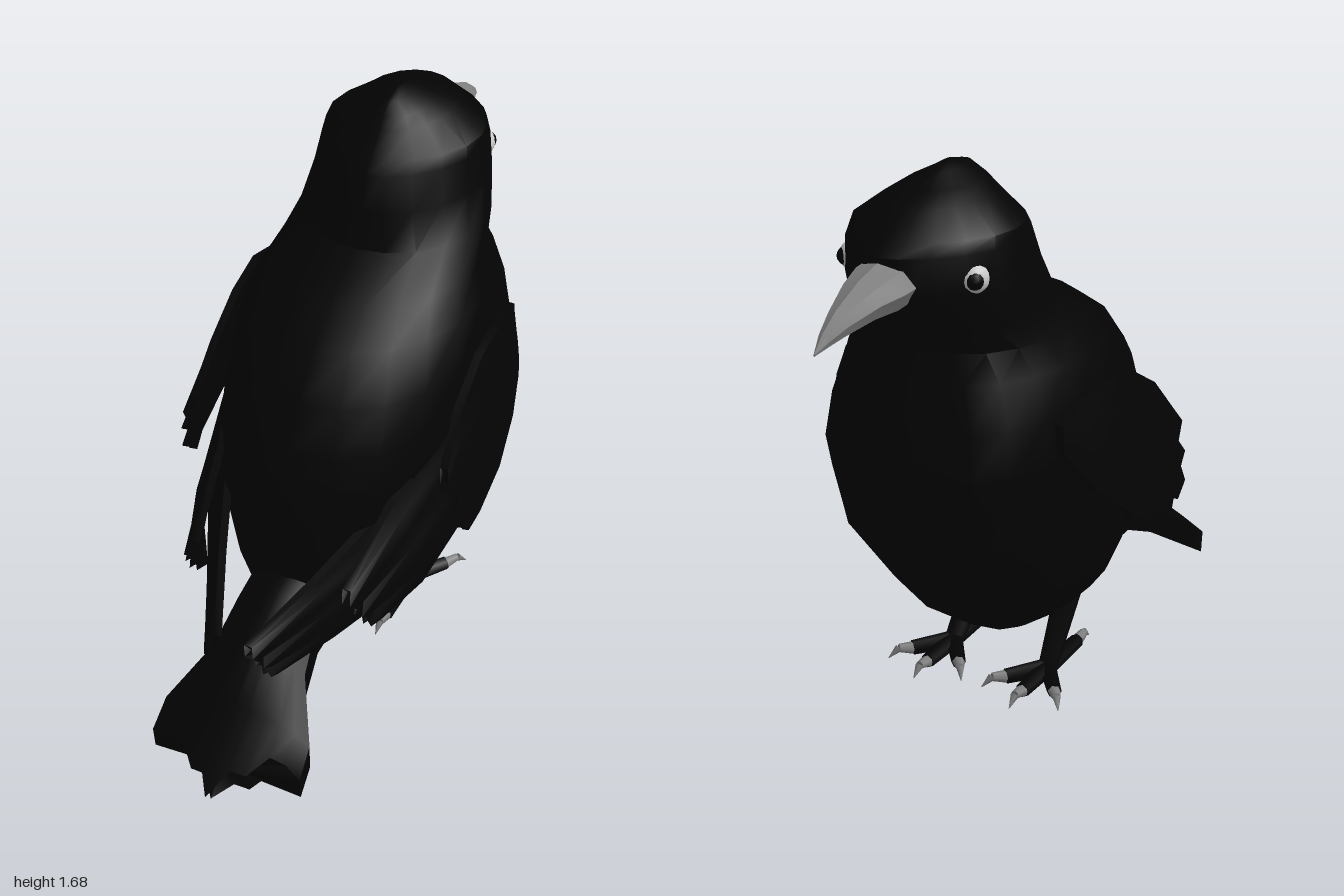
import * as THREE from 'three';
import { toCreasedNormals } from 'three/addons/utils/BufferGeometryUtils.js';

const V = (x, y, z) => new THREE.Vector3(x, y, z);
const black = new THREE.MeshStandardMaterial({ color: 0x030303 });
const thin = new THREE.MeshStandardMaterial({ color: 0x030303, side: THREE.DoubleSide });
const horn = new THREE.MeshStandardMaterial({ color: 0x808080 });
const white = new THREE.MeshStandardMaterial({ color: 0xcccccc });

function add(parent, name, geometry, material) {
  const mesh = new THREE.Mesh(geometry, material);
  mesh.name = name;
  parent.add(mesh);
  return mesh;
}

// Skin a list of closed rings and cap both ends
function loft(rings, crease = 0.7) {
  const n = rings[0].length, m = rings.length, pos = [], idx = [];
  rings.forEach(r => r.forEach(p => pos.push(p.x, p.y, p.z)));
  for (const r of [rings[0], rings[m - 1]]) {
    const c = r.reduce((s, p) => s.add(p), V(0, 0, 0)).divideScalar(n);
    pos.push(c.x, c.y, c.z);
  }
  for (let i = 0; i < m - 1; i++) {
    for (let j = 0; j < n; j++) {
      const a = i * n + j, b = i * n + (j + 1) % n;
      idx.push(a, a + n, b, b, a + n, b + n);
    }
  }
  for (let j = 0; j < n; j++) {
    const k = (j + 1) % n, e = (m - 1) * n;
    idx.push(m * n, j, k, m * n + 1, e + k, e + j);
  }
  const g = new THREE.BufferGeometry();
  g.setAttribute('position', new THREE.Float32BufferAttribute(pos, 3));
  g.setIndex(idx);
  return toCreasedNormals(g, crease);
}

// Body and head: level slices [y, front z, back z, half width, front exponent, back exponent]
// (an exponent below 1 is blunt, above 1 pointed)
function bodyGeometry() {
  const slices = [
    [0.19, -0.19, 0.08, 0.1, 0.7, 1], [0.215, -0.27, 0.32, 0.17, 0.6, 0.9], [0.265, -0.34, 0.42, 0.235, 0.5, 0.85],
    [0.4, -0.44, 0.44, 0.3, 0.45, 0.8], [0.64, -0.61, 0.465, 0.36, 0.42, 0.8], [0.79, -0.645, 0.445, 0.375, 0.42, 0.85],
    [0.89, -0.665, 0.41, 0.38, 0.43, 0.9], [1.02, -0.635, 0.34, 0.375, 0.5, 0.95], [1.14, -0.605, 0.24, 0.345, 0.6, 1],
    [1.22, -0.585, 0.11, 0.305, 0.75, 1], [1.3, -0.64, -0.06, 0.285, 1.05, 1.05], [1.41, -0.71, -0.09, 0.262, 1.3, 1.25],
    [1.51, -0.715, -0.12, 0.245, 1.3, 1.4], [1.545, -0.68, -0.155, 0.238, 1.25, 1.4], [1.61, -0.6, -0.215, 0.145, 1, 1.2],
    [1.64, -0.525, -0.245, 0.1, 1, 1], [1.67, -0.45, -0.275, 0.04, 1, 1], [1.688, -0.39, -0.35, 0.008, 1, 1],
  ];
  return loft(slices.map(([y, f, b, w, ef, eb]) => {
    const ring = [];
    for (let j = 0; j < 20; j++) {
      const a = j / 20 * Math.PI * 2, c = Math.cos(a), s = Math.sin(a);
      const x = Math.sign(c) * w * Math.abs(c) ** (s < 0 ? ef : eb);
      ring.push(V(Math.abs(c) < 1e-6 ? 0 : x, y, (f + b) / 2 + s * (b - f) / 2));
    }
    return ring;
  }));
}

// Curved beak: [z, top, bottom, half width]
function beakGeometry() {
  const cuts = [[-0.66, 1.5, 1.365, 0.092], [-0.72, 1.495, 1.36, 0.09], [-0.8, 1.473, 1.362, 0.068],
    [-0.9, 1.427, 1.35, 0.036], [-0.96, 1.385, 1.342, 0.018], [-1, 1.343, 1.335, 0.002]];
  return loft(cuts.map(([z, t, b, w]) => {
    const ring = [];
    for (let j = 0; j < 8; j++) {
      const a = j / 8 * Math.PI * 2;
      ring.push(V(w * Math.cos(a), (t + b) / 2 + (t - b) / 2 * Math.sin(a), z));
    }
    return ring;
  }), 0.5);
}

// Wing layer: stations [z, top, bottom, x at top, x at bottom]; the last one is
// cut into feather tips, its lower end drawn forward by the slant
function wingLayer(stations, jag, slant) {
  const rows = 6;
  return loft(stations.map(([z, top, bottom, xTop, xBottom], i) => {
    const outer = [], inner = [], last = i === stations.length - 1;
    for (let j = 0; j <= rows; j++) {
      const v = j / rows, y = top + (bottom - top) * v;
      const tip = last ? (j % 2 ? jag : 0) - slant * v : 0;
      const x = xTop + (xBottom - xTop) * Math.sin(v * Math.PI / 2);
      outer.push(V(x, y, z + tip));
      inner.unshift(V(x - 0.025, y, z + tip));
    }
    return [...outer, ...inner];
  }));
}

// Tail: arched fan, stations [z, half width, top, edge drop, thickness]
function tailGeometry() {
  const stations = [[0.36, 0.12, 0.46, 0.05, 0.2], [0.5, 0.13, 0.43, 0.07, 0.13], [0.63, 0.15, 0.37, 0.1, 0.1],
    [0.78, 0.235, 0.235, 0.08, 0.09], [0.83, 0.24, 0.19, 0.07, 0.075]];
  const tips = [0.16, 0.09, 0.085, 0.025, 0.02, 0.03], n = 10;
  return loft(stations.map(([z, w, top, drop, thick], i) => {
    const upper = [], lower = [];
    for (let j = 0; j <= n; j++) {
      const v = j / n * 2 - 1;
      const tip = i === stations.length - 1 ? tips[Math.abs(j - n / 2)] : 0;
      const y = top - drop * v * v - tip * 0.9;
      upper.push(V(v * w, y, z + tip));
      lower.unshift(V(v * w, Math.max(0.005, y - thick), z + tip * 0.8));
    }
    return [...upper, ...lower];
  }));
}

// Tapered round bar between two points
function bar(a, b, r0, r1, sides = 6) {
  const d = b.clone().sub(a);
  const g = new THREE.CylinderGeometry(r1, r0, d.length(), sides);
  g.applyQuaternion(new THREE.Quaternion().setFromUnitVectors(V(0, 1, 0), d.clone().normalize()));
  const mid = a.clone().add(b).multiplyScalar(0.5);
  return g.translate(mid.x, mid.y, mid.z);
}

function createSide() {
  const side = new THREE.Group();

  // Three overlapping layers of wing feathers, leaning in against the back
  const wing = new THREE.Group();
  wing.name = 'wing';
  side.add(wing);
  add(wing, 'wingCoverts', wingLayer([[-0.4, 1.0, 0.92, 0.375, 0.38], [-0.32, 1.06, 0.8, 0.395, 0.43],
    [-0.2, 1.08, 0.74, 0.41, 0.46], [-0.05, 1.05, 0.66, 0.405, 0.478], [0.1, 0.96, 0.6, 0.405, 0.476],
    [0.22, 0.83, 0.57, 0.415, 0.465]], 0.04, 0.06), thin);
  add(wing, 'middleFeathers', wingLayer([[-0.25, 0.98, 0.75, 0.37, 0.4], [0, 0.92, 0.56, 0.36, 0.43],
    [0.3, 0.73, 0.45, 0.29, 0.38], [0.54, 0.57, 0.37, 0.255, 0.3]], 0.05, 0.12), thin);
  add(wing, 'longFeathers', wingLayer([[0, 0.86, 0.55, 0.355, 0.39], [0.3, 0.69, 0.43, 0.26, 0.335],
    [0.55, 0.58, 0.38, 0.16, 0.21], [0.78, 0.485, 0.345, 0.06, 0.11]], 0.03, 0.06), thin);

  // Eye set into the side of the head
  const eye = new THREE.Group();
  eye.name = 'eye';
  eye.position.set(0.185, 1.44, -0.55);
  eye.rotation.y = 0.6;
  side.add(eye);
  add(eye, 'eyeball', new THREE.SphereGeometry(0.045, 14, 10), white);
  const pupil = add(eye, 'pupil', new THREE.SphereGeometry(0.027, 12, 8), black);
  pupil.position.set(0.024, 0, -0.006);

  // Leg and foot
  const ankle = V(0.17, 0.035, -0.11);
  add(side, 'leg', bar(V(0.155, 0.27, 0.07), ankle, 0.045, 0.03), black);
  for (const [x, z] of [[0.085, -0.22], [0.17, -0.265], [0.255, -0.22], [0.17, 0.08]]) {
    const end = V(x, 0.034, z), dir = end.clone().sub(ankle).setY(0).normalize();
    const bend = end.clone().addScaledVector(dir, 0.045).setY(0.042);
    const tip = end.clone().addScaledVector(dir, 0.08).setY(0.014);
    add(side, 'toe', bar(ankle, end, 0.028, 0.023), black);
    add(side, 'clawBase', bar(end, bend, 0.02, 0.013), horn);
    add(side, 'clawTip', bar(bend, tip, 0.013, 0.001), horn);
  }
  return side;
}

export function createModel() {
  const bird = new THREE.Group();
  bird.name = 'bird';
  add(bird, 'body', bodyGeometry(), black);
  add(bird, 'beak', beakGeometry(), horn);
  add(bird, 'tail', tailGeometry(), thin);
  // The bird faces -z; the second side is a mirror image
  for (const s of [1, -1]) {
    const side = createSide();
    side.name = s > 0 ? 'leftSide' : 'rightSide';
    side.scale.x = s;
    bird.add(side);
  }
  return bird;
}
